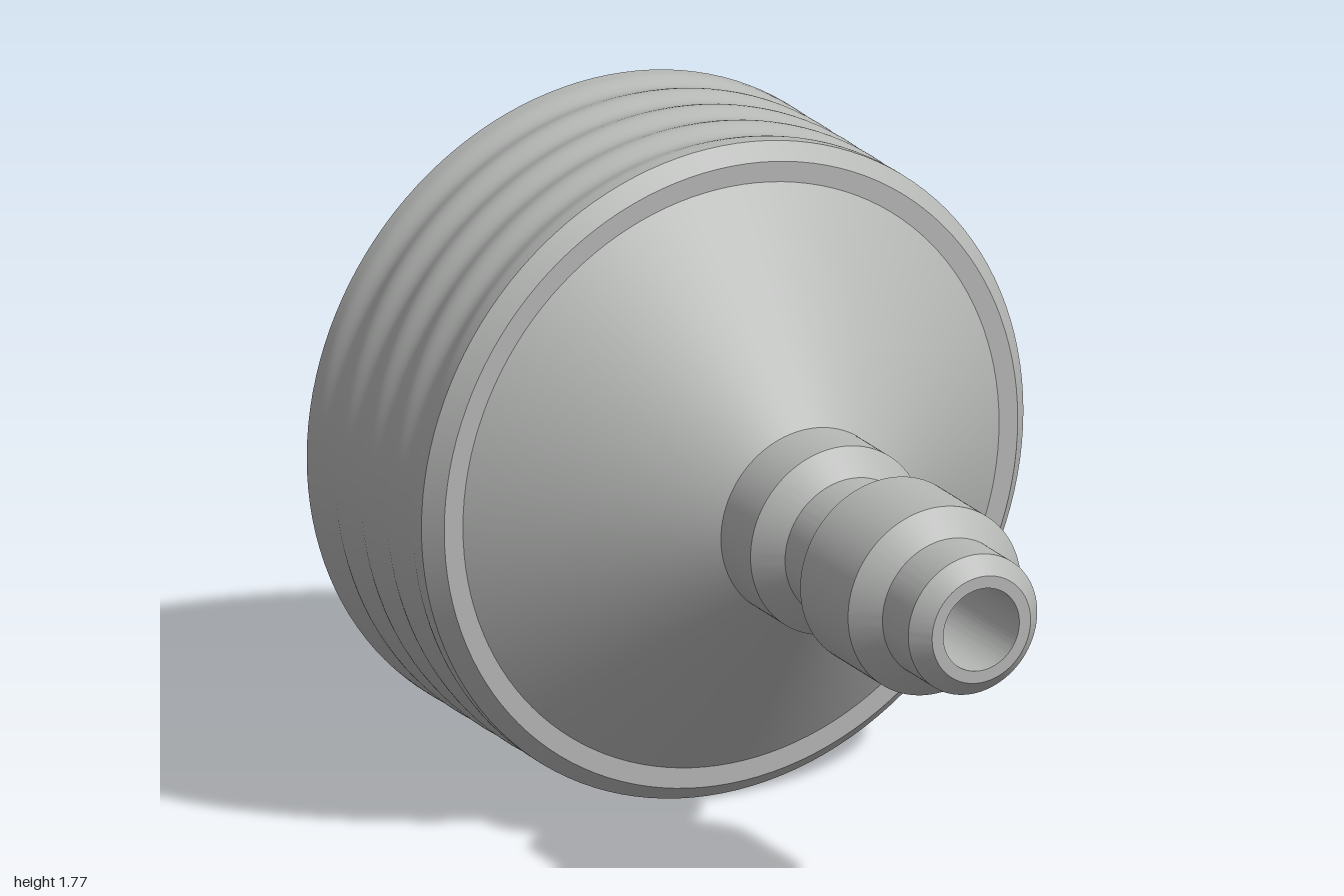
import * as THREE from 'three';
import { toCreasedNormals } from 'three/addons/utils/BufferGeometryUtils.js';

const AXIS_Y = 0.887; // height of the axis above the ground

export function createModel() {
  const model = new THREE.Group();
  const metal = new THREE.MeshStandardMaterial({ color: 0xb5b7b5 });
  metal.name = 'grey metal';

  function add(name, geometry) {
    const mesh = new THREE.Mesh(geometry, metal);
    mesh.name = name;
    mesh.position.y = AXIS_Y;
    model.add(mesh);
  }

  // Turns a list of [radius, z] about the z axis, keeping the edges sharp
  function turned(profile) {
    const points = profile.map(([r, z]) => new THREE.Vector2(r, z));
    const geometry = new THREE.LatheGeometry(points, 128);
    geometry.rotateX(Math.PI / 2);
    return toCreasedNormals(geometry, 0.45);
  }

  // Grip ribs: four shallow waves along the drum
  const ribs = [];
  for (let i = 0; i <= 48; i++) {
    const t = i / 48;
    ribs.push([0.879 + 0.008 * Math.cos(t * 4 * Math.PI * 2), -0.925 + 0.54 * t]);
  }

  // Head: rear rim, ribbed drum, front ring and cone, then the hollow inside
  add('head', turned([
    [0.77, -0.94], [0.77, -0.96], [0.795, -1], [0.845, -1], [0.887, -0.955],
    ...ribs,
    [0.887, -0.355], [0.845, -0.31], [0.79, -0.31], [0.255, 0.09],
  ]));
  add('headInside', turned([
    [0.11, 0.09], [0.15, 0.05], [0.72, -0.37], [0.72, -0.9],
  ]));

  // Connector: stepped collar and plug with a through bore
  add('connector', turned([
    [0.255, 0.09], [0.255, 0.245], [0.19, 0.31], [0.19, 0.445],
    [0.255, 0.505], [0.255, 0.755], [0.19, 0.82], [0.19, 0.955],
    [0.145, 1], [0.112, 1], [0.11, 0.09],
  ]));

  // Spray plate: rings of 6, 12, 18... holes around a centre hole
  const plate = new THREE.Shape().absarc(0, 0, 0.772, 0, Math.PI * 2, false);
  function drill(x, y) {
    plate.holes.push(new THREE.Path().absarc(x, y, 0.008, 0, Math.PI * 2, true));
  }
  drill(0, 0);
  for (let ring = 1; ring <= 6; ring++) {
    const count = ring * 6;
    for (let i = 0; i < count; i++) {
      const a = (i / count) * Math.PI * 2;
      drill(Math.cos(a) * ring * 0.09, Math.sin(a) * ring * 0.09);
    }
  }
  const plateGeometry = new THREE.ExtrudeGeometry(plate, {
    depth: 0.04, bevelEnabled: false, curveSegments: 24,
  });
  plateGeometry.translate(0, 0, -0.94);
  add('sprayPlate', plateGeometry);

  return model;
}
